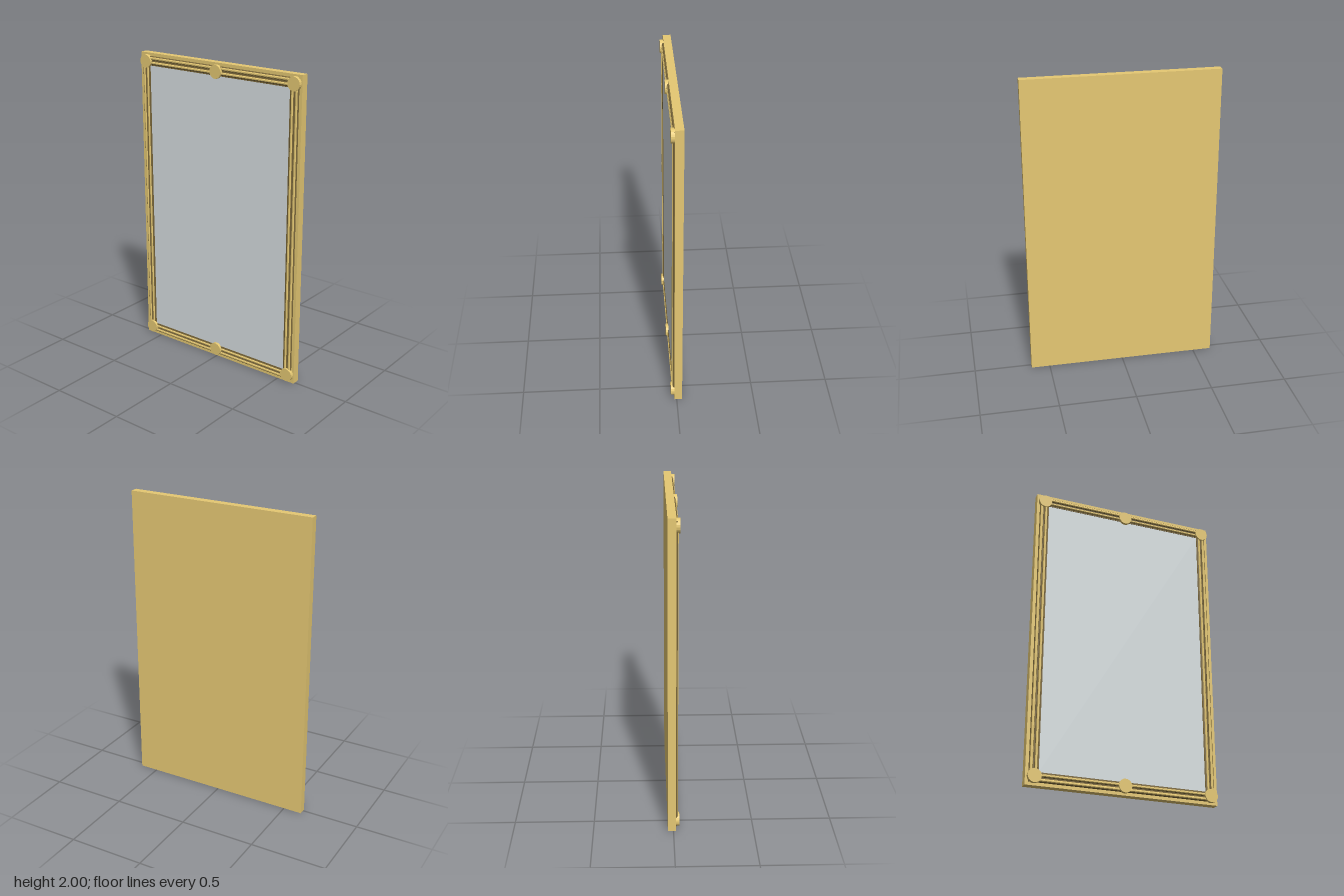
import * as THREE from 'three';

const W = 1.245, H = 2, BACK = -0.015; // board width (z), height, rear face x

// flat facets on any geometry
function faceted(geometry) {
  const g = geometry.index ? geometry.toNonIndexed() : geometry;
  g.computeVertexNormals();
  return g;
}

// Sweeps a moulding profile of [inset, height] points round the rectangle, mitred at the corners
function mouldingGeometry(profile) {
  const pos = [], idx = [], n = profile.length;
  const corners = [[-1, -1], [1, -1], [1, 1], [-1, 1]];
  for (const [sz, sy] of corners) {
    for (const [inset, height] of profile) {
      pos.push(BACK - height, H / 2 + sy * (H / 2 - inset), sz * (W / 2 - inset));
    }
  }
  for (let c = 0; c < 4; c++) {
    for (let i = 0; i < n - 1; i++) {
      const a = c * n + i, b = ((c + 1) % 4) * n + i;
      idx.push(a, b, b + 1, a, b + 1, a + 1);
    }
  }
  const g = new THREE.BufferGeometry();
  g.setAttribute('position', new THREE.Float32BufferAttribute(pos, 3));
  g.setIndex(idx);
  return faceted(g);
}

export function createModel() {
  const group = new THREE.Group();
  const gold = new THREE.MeshStandardMaterial({ color: 0xe5c873, side: THREE.DoubleSide });
  gold.name = 'gold';
  const bronze = new THREE.MeshStandardMaterial({ color: 0x7a673a, side: THREE.DoubleSide });
  bronze.name = 'dark bronze';
  const silver = new THREE.MeshStandardMaterial({ color: 0xd7dee0 });
  silver.name = 'silver glass';

  function add(name, geometry, material, x = 0, y = 0, z = 0) {
    const mesh = new THREE.Mesh(geometry, material);
    mesh.name = name;
    mesh.position.set(x, y, z);
    group.add(mesh);
  }

  // Solid board
  add('board', new THREE.BoxGeometry(0.05, H, W), gold, BACK + 0.025, H / 2, 0);

  // Mirror glass, a thin plate on the board
  add('glass', new THREE.BoxGeometry(0.004, H - 0.16, W - 0.16), silver, BACK - 0.002, H / 2, 0);

  // Moulding round the glass: two gold beads between dark flanks and a dark groove
  add('outerFlank', mouldingGeometry([[0.02, 0], [0.02, 0.004], [0.025, 0.009]]), bronze);
  add('outerBead', mouldingGeometry([[0.025, 0.009], [0.03, 0.013], [0.037, 0.013], [0.042, 0.009]]), gold);
  add('groove', mouldingGeometry([[0.042, 0.009], [0.045, 0.004], [0.052, 0.004], [0.055, 0.009]]), bronze);
  add('innerBead', mouldingGeometry([[0.055, 0.009], [0.059, 0.014], [0.066, 0.014], [0.07, 0.009]]), gold);
  add('innerFlank', mouldingGeometry([[0.07, 0.009], [0.075, 0.006], [0.081, 0.006], [0.083, 0]]), bronze);

  // Round bosses at the corners and the middle of the top and bottom rails
  const disc = faceted(new THREE.CylinderGeometry(0.043, 0.043, 0.022, 20).rotateZ(Math.PI / 2));
  for (const y of [0.056, H - 0.054]) {
    for (const z of [-0.569, 0, 0.575]) add('boss', disc, gold, BACK - 0.011, y, z);
  }

  return group;
}
